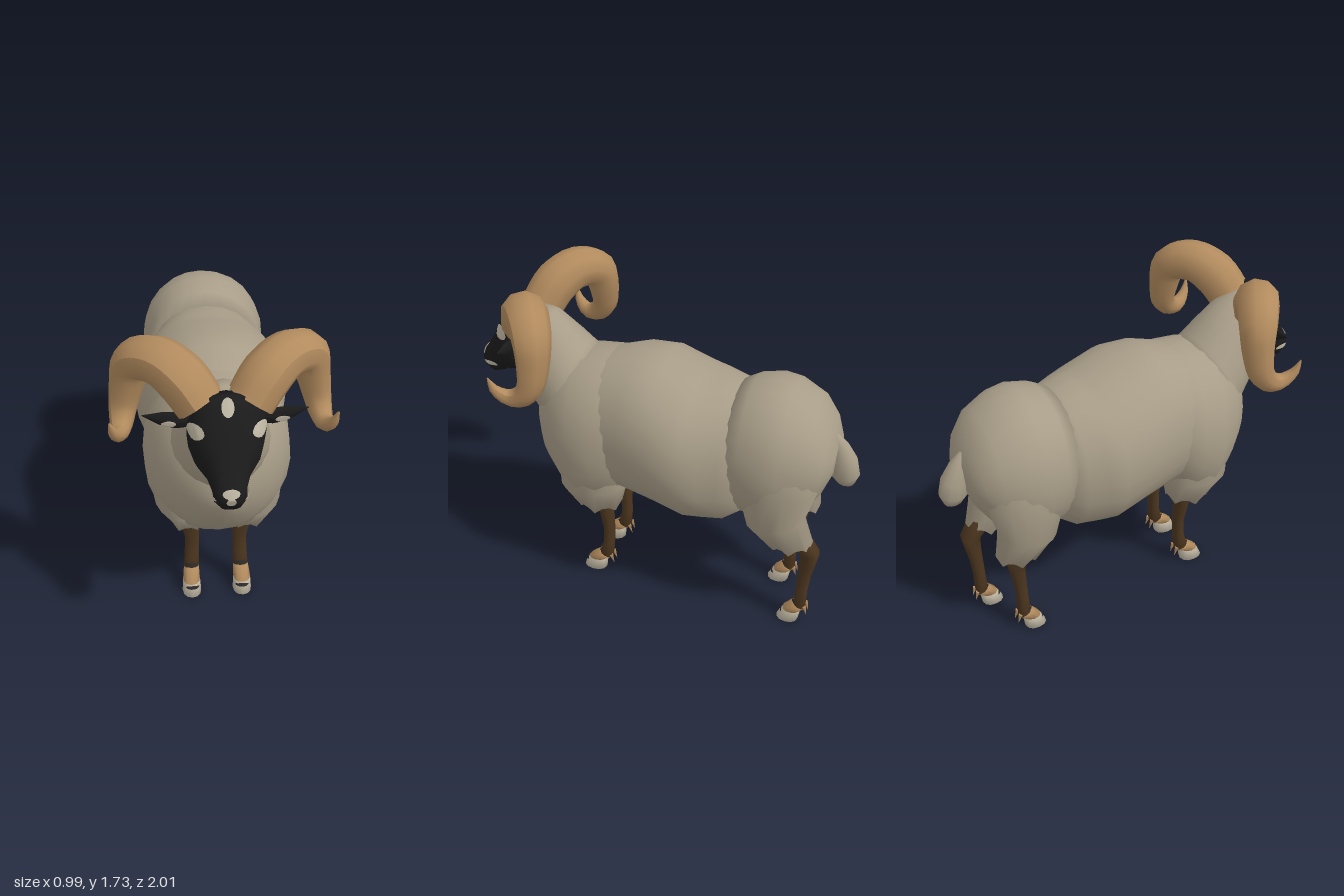
import * as THREE from 'three';

const mat = (name, color, side = THREE.FrontSide) => {
  const m = new THREE.MeshStandardMaterial({ color, side });
  m.name = name;
  return m;
};

// Closed skin through rings. Ring: [y1, z1, y2, z2, halfWidth, centreX], where
// point 1 is the upper (or, on upright parts, the rear) end of the ring.
function loftGeometry(rings, n = 18, power = 2, ragged = 0) {
  const pos = [], idx = [];
  const shape = v => Math.sign(v) * Math.pow(Math.abs(v), 2 / power);
  rings.forEach(([y1, z1, y2, z2, rx, cx = 0], r) => {
    for (let i = 0; i < n; i++) {
      const a = (i / n) * Math.PI * 2, c = shape(Math.cos(a)), s = shape(Math.sin(a));
      const drop = r === 0 && i % 3 === 0 ? ragged : 0;
      pos.push(cx + rx * c, (y1 + y2) / 2 + s * (y1 - y2) / 2 - drop, (z1 + z2) / 2 + s * (z1 - z2) / 2);
    }
  });
  for (let r = 0; r < rings.length - 1; r++) {
    for (let i = 0; i < n; i++) {
      const a = r * n + i, b = r * n + (i + 1) % n;
      idx.push(a, b, b + n, a, b + n, a + n);
    }
  }
  // End caps
  [0, rings.length - 1].forEach((r, end) => {
    const [y1, z1, y2, z2, , cx = 0] = rings[r];
    const centre = pos.length / 3;
    pos.push(cx, (y1 + y2) / 2, (z1 + z2) / 2);
    for (let i = 0; i < n; i++) {
      const a = r * n + i, b = r * n + (i + 1) % n;
      end ? idx.push(centre, a, b) : idx.push(centre, b, a);
    }
  });
  const g = new THREE.BufferGeometry();
  g.setAttribute('position', new THREE.Float32BufferAttribute(pos, 3));
  g.setIndex(idx);
  g.computeVertexNormals();
  return g;
}

// Tapered tube through [x, y, z, radius] points
function taperGeometry(points, n = 28, sides = 10) {
  const curve = new THREE.CatmullRomCurve3(points.map(p => new THREE.Vector3(p[0], p[1], p[2])));
  const g = new THREE.TubeGeometry(curve, n, 1, sides);
  const p = g.attributes.position, v = new THREE.Vector3();
  for (let i = 0; i <= n; i++) {
    const c = curve.getPointAt(i / n);
    const t = curve.getUtoTmapping(i / n) * (points.length - 1);
    const k = Math.min(Math.floor(t), points.length - 2);
    const radius = THREE.MathUtils.lerp(points[k][3], points[k + 1][3], t - k);
    for (let j = 0; j <= sides; j++) {
      const q = i * (sides + 1) + j;
      v.fromBufferAttribute(p, q).sub(c).multiplyScalar(radius).add(c);
      p.setXYZ(q, v.x, v.y, v.z);
    }
  }
  g.computeVertexNormals();
  return g;
}

// Thin oval marking laid on the surface of a mesh
function drapeGeometry(target, centre, outward, w, h) {
  const g = new THREE.RingGeometry(0.001, 1, 14, 5);
  const out = new THREE.Vector3(...outward).normalize(), c = new THREE.Vector3(...centre);
  const turn = new THREE.Quaternion().setFromUnitVectors(new THREE.Vector3(0, 0, 1), out);
  const p = g.attributes.position, v = new THREE.Vector3(), ray = new THREE.Raycaster();
  for (let i = 0; i < p.count; i++) {
    v.set(p.getX(i) * w, p.getY(i) * h, 0).applyQuaternion(turn).add(c);
    ray.set(v.clone().addScaledVector(out, 0.3), out.clone().negate());
    const hit = ray.intersectObject(target)[0];
    if (hit) v.copy(hit.point);
    v.addScaledVector(out, 0.006);
    p.setXYZ(i, v.x, v.y, v.z);
  }
  g.computeVertexNormals();
  return g;
}

export function createModel() {
  const root = new THREE.Group();
  const fleece = mat('fleece', 0xa89d88), black = mat('blackFace', 0x1b1b1c);
  const horn = mat('horn', 0xb28b5e), brown = mat('legBrown', 0x4c361f);
  const cream = mat('cream', 0xc0b7a4, THREE.DoubleSide);
  const dark = mat('darkMarking', 0x2f2c29, THREE.DoubleSide);
  const add = (name, geometry, material, parent = root) => {
    const m = new THREE.Mesh(geometry, material);
    m.name = name;
    parent.add(m);
    return m;
  };

  // Body
  add('barrel', loftGeometry([
    [1.27, -0.5, 0.66, -0.5, 0.27], [1.315, -0.37, 0.55, -0.37, 0.315], [1.33, -0.28, 0.55, -0.28, 0.355],
    [1.335, -0.2, 0.56, -0.2, 0.392], [1.4, -0.02, 0.605, -0.02, 0.384], [1.4, 0.13, 0.62, 0.14, 0.348],
    [1.345, 0.3, 0.62, 0.3, 0.31], [1.3, 0.42, 0.66, 0.4, 0.27],
  ], 24, 2.15), fleece);
  add('chest', loftGeometry([
    [1.3, 0.04, 0.74, 0.1, 0.26], [1.365, 0.18, 0.6, 0.17, 0.33], [1.35, 0.3, 0.51, 0.25, 0.357],
    [1.34, 0.42, 0.46, 0.36, 0.35], [1.29, 0.53, 0.53, 0.47, 0.295], [1.2, 0.61, 0.64, 0.57, 0.22],
    [1.09, 0.66, 0.76, 0.635, 0.13], [0.97, 0.68, 0.86, 0.685, 0.05],
  ], 24, 2.1), fleece);
  add('rump', loftGeometry([
    [1.1, -0.885, 0.95, -0.88, 0.13], [1.21, -0.845, 0.83, -0.84, 0.21], [1.31, -0.77, 0.73, -0.78, 0.27],
    [1.37, -0.65, 0.64, -0.68, 0.315], [1.38, -0.56, 0.62, -0.58, 0.328], [1.355, -0.45, 0.63, -0.48, 0.305],
    [1.31, -0.38, 0.68, -0.4, 0.285],
  ], 24, 2.1), fleece);
  add('neck', loftGeometry([
    [1.29, 0.33, 0.88, 0.53, 0.25], [1.36, 0.41, 0.94, 0.635, 0.228], [1.42, 0.47, 1.01, 0.69, 0.205],
    [1.52, 0.58, 1.09, 0.76, 0.165], [1.55, 0.68, 1.17, 0.785, 0.135],
  ], 20), fleece);
  add('tail', loftGeometry([
    [0.88, -0.98, 0.885, -0.89, 0.04], [0.94, -1, 0.92, -0.86, 0.063], [1.02, -0.98, 0.98, -0.85, 0.06],
    [1.1, -0.925, 1.06, -0.84, 0.045], [1.15, -0.87, 1.12, -0.82, 0.02],
  ], 12), fleece);

  // Head
  const head = add('head', loftGeometry([
    [1.55, 0.71, 1.18, 0.7, 0.13], [1.57, 0.77, 1.18, 0.755, 0.168], [1.47, 0.845, 1.165, 0.8, 0.145],
    [1.36, 0.905, 1.15, 0.85, 0.095], [1.28, 0.955, 1.125, 0.88, 0.075], [1.24, 0.983, 1.11, 0.925, 0.07],
    [1.205, 1, 1.13, 0.975, 0.045],
  ], 20, 2.4), black);
  add('foreheadMarking', drapeGeometry(head, [0, 1.53, 0.805], [0, 0.6, 0.8], 0.027, 0.042), cream);
  add('noseMarking', drapeGeometry(head, [0, 1.225, 0.985], [0, 0.4, 1], 0.037, 0.022), cream);
  add('lipMarking', drapeGeometry(head, [0, 1.19, 0.99], [0, 0, 1], 0.021, 0.025), cream);

  // One leg: rings run from the sole upwards, split by colour
  function leg(name, s, rings) {
    const g = new THREE.Group();
    g.name = name;
    root.add(g);
    const part = (label, from, to, m) => add(label, loftGeometry(rings.slice(from, to), 12, 2.3), m, g);
    const hoof = part('hoof', 0, 2, cream);
    part('pastern', 1, 3, horn);
    const shank = part('shank', 2, rings.length, brown);
    const [, z1, , z2, , x] = rings[2];
    add('hoofMarking', drapeGeometry(hoof, [x, 0.05, rings[1][3]], [0, 0.3, 1], 0.036, 0.01), dark, g);
    add('ankleMarking', drapeGeometry(shank, [x, 0.142, z2], [0, 0, 1], 0.036, 0.014), dark, g);
    // Dewclaws
    for (const d of [-1, 1]) {
      const claw = add('dewclaw', new THREE.ConeGeometry(0.012, 0.06, 6), horn, g);
      claw.position.set(x + d * 0.02, 0.085, z1 - 0.005);
      claw.rotation.x = Math.PI + 0.3;
    }
  }

  for (const s of [1, -1]) {
    const side = s > 0 ? 'left' : 'right';

    // Face markings
    add(side + 'EyeMarking', drapeGeometry(head, [s * 0.138, 1.425, 0.815], [s * 0.8, 0.15, 0.6], 0.053, 0.034), cream);
    add(side + 'MouthMarking', drapeGeometry(head, [s * 0.07, 1.185, 0.935], [s, 0, 0], 0.045, 0.013), cream);

    // Ears
    const earShape = taperGeometry([
      [s * 0.12, 1.415, 0, 0.028], [s * 0.2, 1.412, 0, 0.04], [s * 0.27, 1.425, 0, 0.032], [s * 0.35, 1.445, 0, 0.002],
    ], 12);
    earShape.scale(1, 1, 0.5).translate(0, 0, 0.715);
    const ear = add(side + 'Ear', earShape, black);
    add(side + 'EarMarking', drapeGeometry(ear, [s * 0.24, 1.408, 0.73], [0, 0, 1], 0.032, 0.016), cream);

    // Horns
    add(side + 'Horn', taperGeometry([
      [s * 0.105, 1.48, 0.7, 0.108], [s * 0.175, 1.575, 0.65, 0.113], [s * 0.27, 1.625, 0.58, 0.104],
      [s * 0.37, 1.585, 0.51, 0.093], [s * 0.408, 1.46, 0.495, 0.077], [s * 0.43, 1.35, 0.51, 0.063],
      [s * 0.44, 1.295, 0.56, 0.052], [s * 0.45, 1.285, 0.62, 0.04], [s * 0.472, 1.33, 0.675, 0.024],
      [s * 0.487, 1.4, 0.695, 0.003],
    ]), horn);

    // Fleece over the upper legs
    add(side + 'Shoulder', loftGeometry([
      [0.53, 0.19, 0.5, 0.42, 0.095, s * 0.15], [0.68, 0.15, 0.64, 0.51, 0.14, s * 0.175],
      [0.92, 0.16, 0.9, 0.5, 0.12, s * 0.21], [1.12, 0.22, 1.12, 0.44, 0.07, s * 0.205],
    ], 18, 2, 0.03), fleece);
    const shift = s > 0 ? 0 : 0.03;
    add(side + 'Thigh', loftGeometry([
      [0.57, -0.84 + shift, 0.52, -0.64 + shift, 0.08, s * 0.15], [0.73, -0.79, 0.65, -0.5, 0.125, s * 0.17],
      [0.92, -0.84, 0.9, -0.43, 0.152, s * 0.17], [1.12, -0.8, 1.12, -0.45, 0.12, s * 0.175],
      [1.26, -0.68, 1.26, -0.52, 0.05, s * 0.13],
    ], 18, 2, 0.03), fleece);

    // Legs; the right hind leg stands further forward
    leg(side + 'ForeLeg', s, [
      [0, 0.3, 0, 0.43, 0.05, s * 0.135], [0.075, 0.295, 0.065, 0.4, 0.045, s * 0.135],
      [0.095, 0.26, 0.125, 0.332, 0.04, s * 0.132], [0.2, 0.252, 0.2, 0.31, 0.038, s * 0.128],
      [0.3, 0.25, 0.3, 0.308, 0.036, s * 0.125], [0.37, 0.25, 0.37, 0.314, 0.045, s * 0.13],
      [0.46, 0.25, 0.46, 0.322, 0.055, s * 0.138], [0.6, 0.24, 0.6, 0.35, 0.062, s * 0.145],
    ]);
    const f = s > 0 ? 0 : 0.125;
    leg(side + 'HindLeg', s, [
      [0, -0.81 + f, 0, -0.695 + f, 0.05, s * 0.135], [0.075, -0.82 + f, 0.065, -0.725 + f, 0.045, s * 0.135],
      [0.095, -0.842 + f, 0.125, -0.775 + f, 0.038, s * 0.132], [0.22, -0.842 + f, 0.22, -0.78 + f, 0.034, s * 0.13],
      [0.32, -0.85 + f, 0.32, -0.783 + f, 0.035, s * 0.13], [0.42, -0.868 + f, 0.42, -0.785 + f, 0.041, s * 0.132],
      [0.5, -0.88 + f, 0.49, -0.78 + f, 0.05, s * 0.138], [0.57, -0.835 + f, 0.55, -0.72 + f, 0.06, s * 0.145],
      [0.68, -0.78 + f / 2, 0.65, -0.65 + f / 2, 0.065, s * 0.15],
    ]);
  }
  return root;
}
